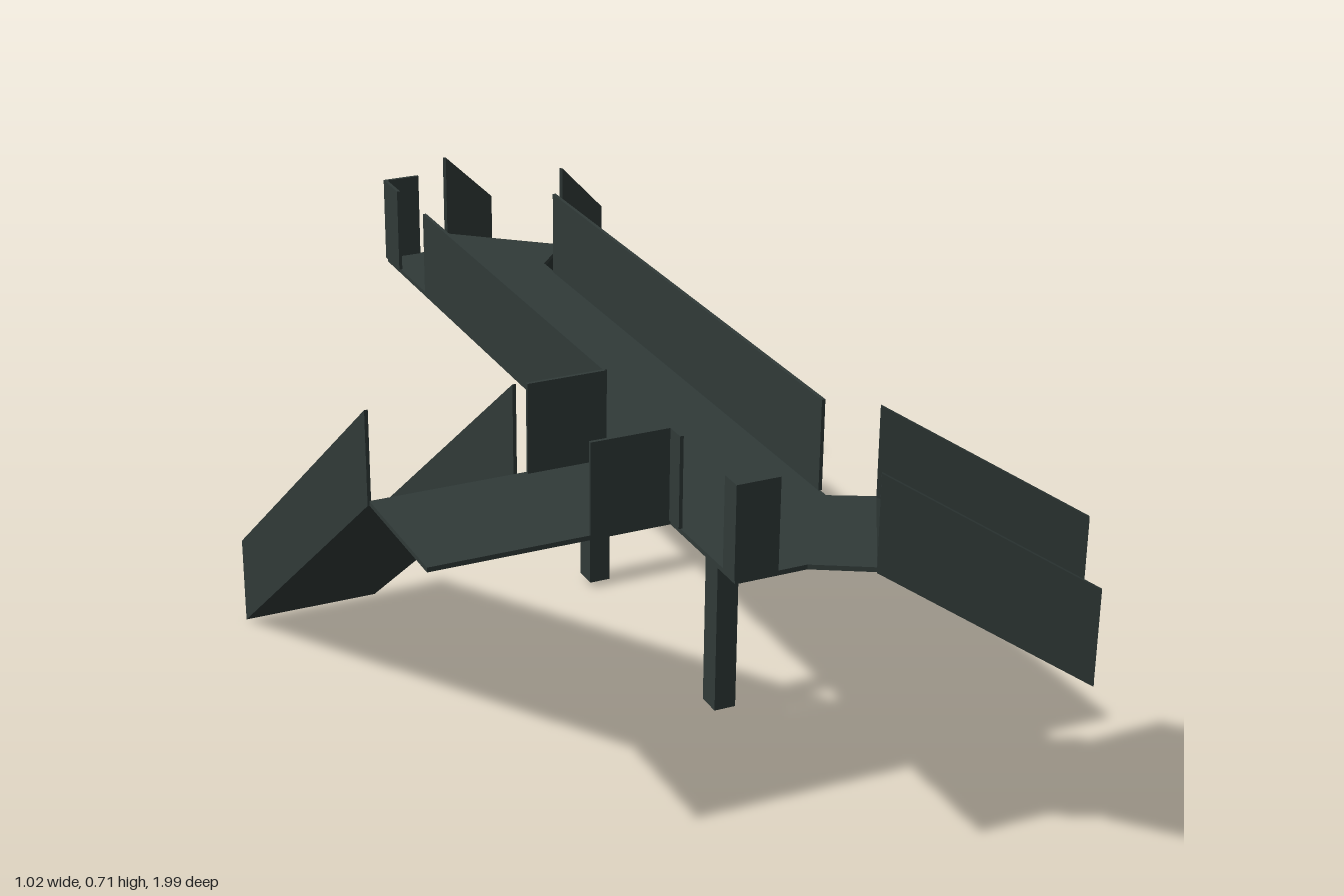
import * as THREE from 'three';

export function createModel() {
  const model = new THREE.Group();
  const paint = new THREE.MeshStandardMaterial({ color: 0x303a38 });
  paint.name = 'dark slate';
  const DECK = 0.555, RAIL = 0.155, SKIN = 0.008;

  const add = (name, geometry, parent = model) => {
    const mesh = new THREE.Mesh(geometry, paint);
    mesh.name = name;
    parent.add(mesh);
    return mesh;
  };

  // Upright strip from plan point a to b, sloping from y0 to y1, extruded sideways by width
  const strip = (a, b, y0, y1, height, width) => {
    const dx = b[0] - a[0], dz = b[1] - a[1], length = Math.hypot(dx, dz);
    const side = new THREE.Shape([[0, y0], [length, y1], [length, y1 + height], [0, y0 + height]]
      .map(([s, y]) => new THREE.Vector2(s, y)));
    return new THREE.ExtrudeGeometry(side, { depth: width, bevelEnabled: false })
      .translate(0, 0, -width / 2)
      .rotateY(-Math.atan2(dz, dx))
      .translate(a[0], 0, a[1]);
  };

  // Walkway with side landing and angled ends
  const outline = [
    [-0.11, 0.78], [0.01, 0.78], [0.1, 0.83], [0.22, 0.615], [0.15, 0.58],
    [0.15, -0.54], [0.22, -0.62], [0.04, -0.77], [-0.03, -0.69], [-0.11, -0.69],
    [-0.11, 0.31], [-0.51, 0.31], [-0.51, 0.56], [-0.11, 0.56],
  ].map(([x, z]) => new THREE.Vector2(x, -z));
  add('deck', new THREE.ExtrudeGeometry(new THREE.Shape(outline), { depth: SKIN, bevelEnabled: false })
    .rotateX(-Math.PI / 2).translate(0, DECK - SKIN, 0));

  // Level guard panels around the walkway
  const guards = {
    rightGuard: [[0.15, 0.56], [0.15, -0.49]],
    leftGuard: [[-0.11, 0.315], [-0.11, -0.485]],
    landingBackGuard: [[-0.245, 0.315], [-0.11, 0.315]],
    landingFrontGuard: [[-0.245, 0.558], [-0.11, 0.558]],
    landingCornerGuard: [[-0.11, 0.555], [-0.11, 0.595]],
    frontCornerSide: [[-0.11, 0.745], [-0.11, 0.783]],
    frontCornerEnd: [[-0.112, 0.78], [-0.04, 0.78]],
    backCornerSide: [[-0.11, -0.62], [-0.11, -0.692]],
    backCornerEnd: [[-0.112, -0.69], [-0.045, -0.69]],
  };
  for (const [name, [a, b]] of Object.entries(guards)) {
    add(name, strip(a, b, DECK, DECK, RAIL, 0.006));
  }

  // Each ramp: floor between two edges, with a sloped wall along each edge
  const ramp = (name, edgeA, edgeB, endY) => {
    const group = new THREE.Group();
    group.name = name;
    model.add(group);
    const middle = (i) => [(edgeA[i][0] + edgeB[i][0]) / 2, (edgeA[i][1] + edgeB[i][1]) / 2];
    const width = Math.hypot(edgeA[0][0] - edgeB[0][0], edgeA[0][1] - edgeB[0][1]);
    add('rampFloor', strip(middle(0), middle(1), DECK - SKIN, endY, SKIN, width), group);
    for (const [a, b] of [edgeA, edgeB]) {
      add('rampWall', strip(a, b, DECK - SKIN, endY, RAIL + SKIN, 0.006), group);
    }
  };
  ramp('frontRamp', [[0.1, 0.83], [0.39, 0.99]], [[0.22, 0.615], [0.51, 0.775]], 0.37);
  ramp('backRamp', [[0.04, -0.77], [0.225, -0.997]], [[0.22, -0.62], [0.405, -0.847]], 0.37);
  ramp('longRamp', [[-0.51, 0.31], [-0.51, -0.403]], [[-0.264, 0.31], [-0.264, -0.403]], 0);

  // Support posts
  for (const z of [0.245, -0.285]) {
    add('post', new THREE.BoxGeometry(0.04, 0.537, 0.046).translate(0.142, 0.2785, z));
  }
  return model;
}
